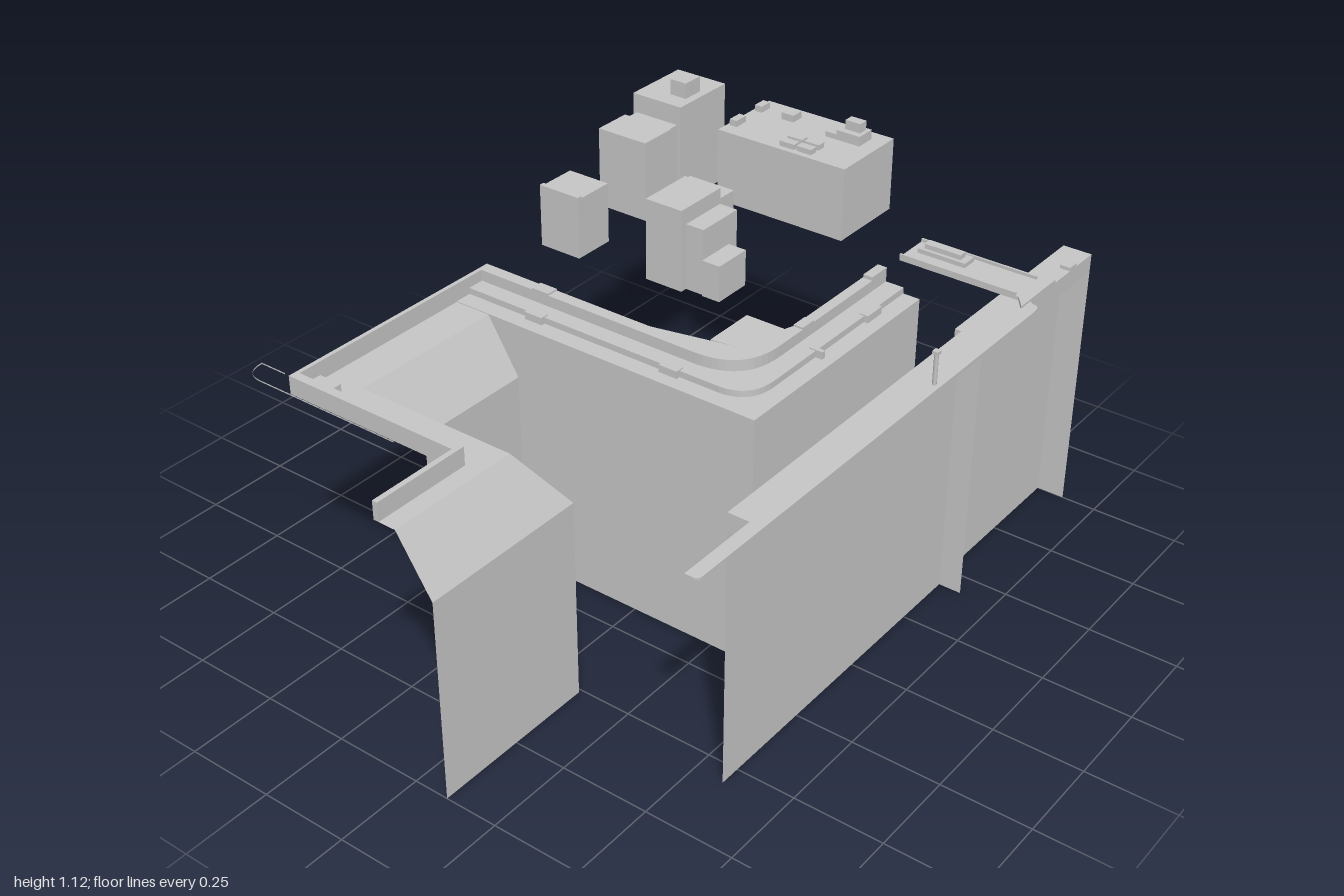
import * as THREE from 'three';

export function createModel() {
  const model = new THREE.Group();
  const grey = new THREE.MeshStandardMaterial({ color: 0xc6c6c6, side: THREE.DoubleSide });
  grey.name = 'stone grey';

  const add = (name, geometry, parent = model) => {
    const m = new THREE.Mesh(geometry, grey);
    m.name = name;
    parent.add(m);
    return m;
  };
  const group = (name) => {
    const g = new THREE.Group();
    g.name = name;
    model.add(g);
    return g;
  };
  // box given by its limits
  const box = (name, x0, x1, y0, y1, z0, z1, parent) =>
    add(name, new THREE.BoxGeometry(x1 - x0, y1 - y0, z1 - z0), parent)
      .position.set((x0 + x1) / 2, (y0 + y1) / 2, (z0 + z1) / 2);
  // plan outline in x,z extruded upward
  const slab = (name, pts, y0, y1, parent) => {
    const shape = new THREE.Shape(pts.map(([x, z]) => new THREE.Vector2(x, -z)));
    const g = new THREE.ExtrudeGeometry(shape, { depth: y1 - y0, bevelEnabled: false });
    g.rotateX(-Math.PI / 2).translate(0, y0, 0);
    return add(name, g, parent);
  };
  // open sheet between a lower and an upper plan path
  const sheet = (name, low, y0, high, y1, parent) => {
    const pos = [];
    for (let i = 0; i < low.length - 1; i++) {
      const a = [low[i][0], y0, low[i][1]], b = [low[i + 1][0], y0, low[i + 1][1]];
      const c = [high[i + 1][0], y1, high[i + 1][1]], d = [high[i][0], y1, high[i][1]];
      pos.push(...a, ...b, ...c, ...a, ...c, ...d);
    }
    const g = new THREE.BufferGeometry();
    g.setAttribute('position', new THREE.Float32BufferAttribute(pos, 3));
    g.computeVertexNormals();
    return add(name, g, parent);
  };
  const wall = (name, path, y0, y1, parent) => sheet(name, path, y0, path, y1, parent);
  const bend = (a, c, b, n = 10) =>
    new THREE.QuadraticBezierCurve(new THREE.Vector2(...a), new THREE.Vector2(...c), new THREE.Vector2(...b))
      .getPoints(n).map((p) => [p.x, p.y]);

  // basin: vertical walls, sloped bank, walkway and parapet
  const basin = group('basin');
  const toe = [[-1, 0.1], [-0.51, 0.1], [-0.51, -0.38], [-0.155, -0.38]];
  const crest = [[-1, 0], [-0.615, 0], [-0.615, -0.475], [-0.155, -0.475]];
  wall('basinWall', toe, 0, 0.58, basin);
  sheet('slopedBank', toe, 0.58, crest, 0.735, basin);
  wall('eastBasinWall', [[-0.155, -0.58], [-0.155, 0.37], [0.59, 0.37], [0.59, 0.31]], 0, 0.735, basin);
  const rim = [[-1, -0.05], [-0.715, -0.05], [-0.715, -0.585], [-0.155, -0.585]];
  sheet('walkway', crest, 0.735, rim, 0.735, basin);
  slab('parapet', [...rim.slice(0, 3), [-0.02, -0.585], [-0.02, -0.597], [-0.74, -0.597], [-0.74, -0.065], [-1, -0.065]],
    0.735, 0.787, basin);
  box('cornerStep', -0.715, -0.672, 0.735, 0.77, -0.56, -0.49, basin);

  // stepped embankment that turns along the inner quay
  const bank = group('embankment');
  const outer = [[0.59, 0.235], [0.2, 0.235], [0.03, 0.18], [-0.02, -0.05], [-0.02, -0.59]];
  const lowEdge = [[-0.105, -0.59], ...bend([-0.105, 0.23], [-0.1, 0.32], [0, 0.32]), [0.59, 0.32]];
  const highEdge = [[-0.055, -0.59], ...bend([-0.055, 0.12], [-0.05, 0.265], [0.1, 0.265], 12), [0.59, 0.265]];
  slab('lowerDeck', [[-0.155, -0.59], [-0.155, 0.37], [0.59, 0.37], ...outer], 0.73, 0.737, bank);
  slab('middleStep', [...lowEdge, ...outer], 0.737, 0.755, bank);
  slab('upperStep', [...highEdge, ...outer], 0.755, 0.787, bank);
  slab('sideLanding', [[0.02, 0.11], [0.175, 0.11], [0.175, 0.228], [0.03, 0.18]], 0.75, 0.787, bank);
  for (const z of [-0.355, 0.08]) box('mooringStep', -0.117, -0.09, 0.735, 0.758, z - 0.028, z + 0.028, bank);
  box('mooringStep', 0.4, 0.465, 0.735, 0.758, 0.305, 0.332, bank);
  box('stepMarker', 0.178, 0.19, 0.735, 0.758, 0.3, 0.34, bank);
  box('bankBlock', -0.055, -0.02, 0.787, 0.792, -0.41, -0.355, bank);
  box('bankBlock', 0.52, 0.59, 0.787, 0.797, 0.237, 0.265, bank);
  box('bankBlock', 0.2, 0.25, 0.787, 0.792, 0.237, 0.265, bank);

  // front quay
  const quay = group('frontQuay');
  wall('quayWallLong', [[-0.56, 0.585], [0.43, 0.585]], 0, 0.735, quay);
  wall('quayWallShort', [[0.43, 0.65], [0.43, 0.57], [1, 0.57], [1, 0.65]], 0, 0.735, quay);
  slab('quayDeck', [[-0.56, 0.585], [0.435, 0.585], [0.435, 0.566], [1, 0.566], [1, 0.65], [-0.56, 0.65]], 0.735, 0.787, quay);
  slab('quayEdge', [[-0.8, 0.648], [0.67, 0.648], ...bend([0.66, 0.66], [0.66, 0.685], [0.63, 0.685], 5),
    ...bend([-0.78, 0.685], [-0.8, 0.685], [-0.8, 0.67], 5)], 0.786, 0.791, quay);
  const post = add('quayPost', new THREE.CylinderGeometry(0.006, 0.006, 0.095, 8), quay);
  post.position.set(0.17, 0.837, 0.667);
  box('postCap', 0.162, 0.178, 0.876, 0.885, 0.659, 0.675, quay);

  // footbridge
  const bridge = group('bridge');
  slab('bridgeDeck', [[0.66, 0.26], [0.775, 0.26], [0.775, 0.62], [0.8, 0.65], [0.62, 0.65], [0.66, 0.62]], 0.787, 0.797, bridge);
  for (const x of [0.66, 0.769]) box('bridgeRail', x, x + 0.006, 0.797, 0.806, 0.26, 0.61, bridge);
  box('bridgeCabin', 0.72, 0.747, 0.797, 0.824, 0.3, 0.41, bridge);
  box('cabinBase', 0.71, 0.757, 0.797, 0.81, 0.285, 0.43, bridge);
  box('quayBlock', 0.88, 0.915, 0.787, 0.797, 0.62, 0.65, bridge);

  // narrow curved kerb behind the basin
  wall('rearKerb', [[-0.8, -0.19], ...bend([-0.8, -0.63], [-0.8, -0.69], [-0.74, -0.69]), [-0.74, -0.61]], 0.786, 0.79);

  // buildings: [x0, x1, y0, y1, z0, z1]
  const building = (name, blocks) => {
    const g = group(name);
    blocks.forEach((b, i) => box(`${name}Block${i + 1}`, ...b, g));
    return g;
  };
  building('smallHouse', [[0.15, 0.275, 0.787, 0.96, -0.55, -0.42], [0.15, 0.165, 0.96, 0.966, -0.55, -0.42]]);
  building('towerHouse', [
    [0.43, 0.545, 0.787, 1.02, -0.575, -0.415],
    [0.545, 0.585, 0.787, 1.015, -0.565, -0.425],
    [0.585, 0.79, 0.778, 1.07, -0.577, -0.413],
    [0.64, 0.705, 1.07, 1.115, -0.49, -0.437],
  ]);
  building('steppedHouse', [
    [0.17, 0.337, 0.787, 1.02, -0.21, -0.095],
    [0.337, 0.395, 0.787, 0.99, -0.237, -0.095],
    [0.19, 0.335, 0.787, 0.975, -0.095, -0.04],
    [0.185, 0.3, 0.787, 0.89, -0.04, 0.015],
  ]);
  const hall = building('flatRoofHall', [
    [0.657, 0.9, 0.787, 1.0, -0.338, 0.077],
    [0.7, 0.745, 1.0, 1.018, -0.33, -0.307],
    [0.82, 0.86, 1.0, 1.018, -0.33, -0.307],
    [0.82, 0.86, 1.0, 1.02, -0.24, -0.2],
    [0.8, 0.86, 1.0, 1.028, -0.045, 0.03],
    [0.82, 0.85, 1.028, 1.055, -0.03, 0.018],
    [0.8, 0.86, 1.0, 1.015, -0.08, -0.045],
  ]);
  for (const x of [0.675, 0.713])
    for (const z of [-0.145, -0.09]) box('roofVent', x, x + 0.026, 1.0, 1.015, z, z + 0.047, hall);

  return model;
}
